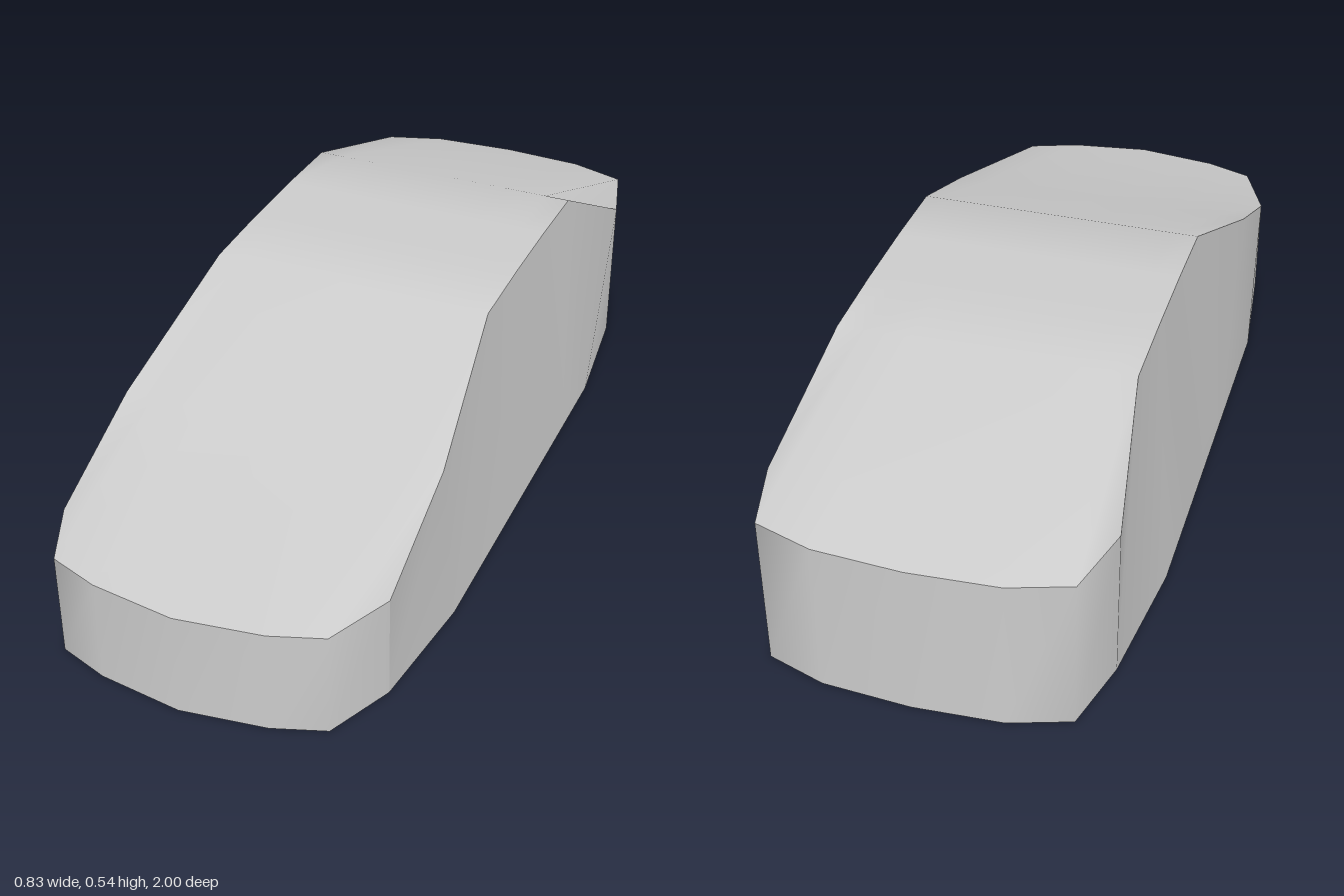
import * as THREE from 'three';

const material = new THREE.MeshStandardMaterial({ color: 0xcccccc });

// Smooth surface through rows of points; outward = (row direction) x (column direction)
function patch(name, rows) {
  const cols = rows[0].length;
  const index = [];
  for (let i = 0; i < rows.length - 1; i++) {
    for (let j = 0; j < cols - 1; j++) {
      const a = i * cols + j, b = a + cols;
      index.push(a, b, a + 1, a + 1, b, b + 1);
    }
  }
  const geometry = new THREE.BufferGeometry();
  geometry.setAttribute('position', new THREE.Float32BufferAttribute(rows.flat(2), 3));
  geometry.setIndex(index);
  geometry.computeVertexNormals();
  const mesh = new THREE.Mesh(geometry, material);
  mesh.name = name;
  return mesh;
}

// Half outlines of the bowed ends, corner to centre: [x, z]
const FRONT = [[0.38, 0.78], [0.312, 0.932], [0.195, 0.973], [0, 1]];
const REAR = [[0.38, -0.777], [0.335, -0.945], [0.2, -0.988], [0, -1]];

// Mirrored row across the body, from right (-x) to left (+x)
function row(half, y) {
  const left = half.map(([x, z]) => [x, y, z]);
  const right = left.slice(0, -1).map(([x, , z]) => [-x, y, z]);
  return [...right, ...left.reverse()];
}
const straight = (x, y, z) => row([1, 0.82, 0.5, 0].map((f) => [f * x, z]), y);

// Stations along the body: [z, top half width, top height, bottom half width]
const STATIONS = [
  [0.78, 0.38, 0.25, 0.38],
  [0.49, 0.38, 0.375, 0.415],
  [0.11, 0.335, 0.538, 0.415],
  [-0.08, 0.335, 0.544, 0.415],
  [-0.28, 0.335, 0.544, 0.415],
  [-0.47, 0.335, 0.538, 0.415],
  [-0.777, 0.38, 0.37, 0.38],
];

export function createModel() {
  const group = new THREE.Group();
  group.name = 'carBody';

  // Bonnet, windscreen, roof and rear slope in one sweep
  const top = [
    row(FRONT, 0.25),
    ...STATIONS.slice(1, -1).map(([z, x, y]) => straight(x, y, z)),
    row(REAR, 0.37),
  ];
  group.add(patch('upperBody', top.map((r) => r.reverse())));

  // Bowed upright ends
  group.add(patch('frontEnd', [row(FRONT, 0.25), row(FRONT, 0)]));
  group.add(patch('rearEnd', [row(REAR, 0.37).reverse(), row(REAR, 0).reverse()]));

  // Sides, leaning inward toward the roof
  for (const [name, s] of [['leftSide', 1], ['rightSide', -1]]) {
    const upper = STATIONS.map(([z, x, y]) => [s * x, y, z]);
    const lower = STATIONS.map(([z, , , x]) => [s * x, 0, z]);
    if (s < 0) { upper.reverse(); lower.reverse(); }
    group.add(patch(name, [upper, lower]));
  }

  // Flat underside
  group.add(patch('underside', [
    row(FRONT, 0), straight(0.415, 0, 0.49), straight(0.415, 0, -0.47), row(REAR, 0),
  ]));
  return group;
}
